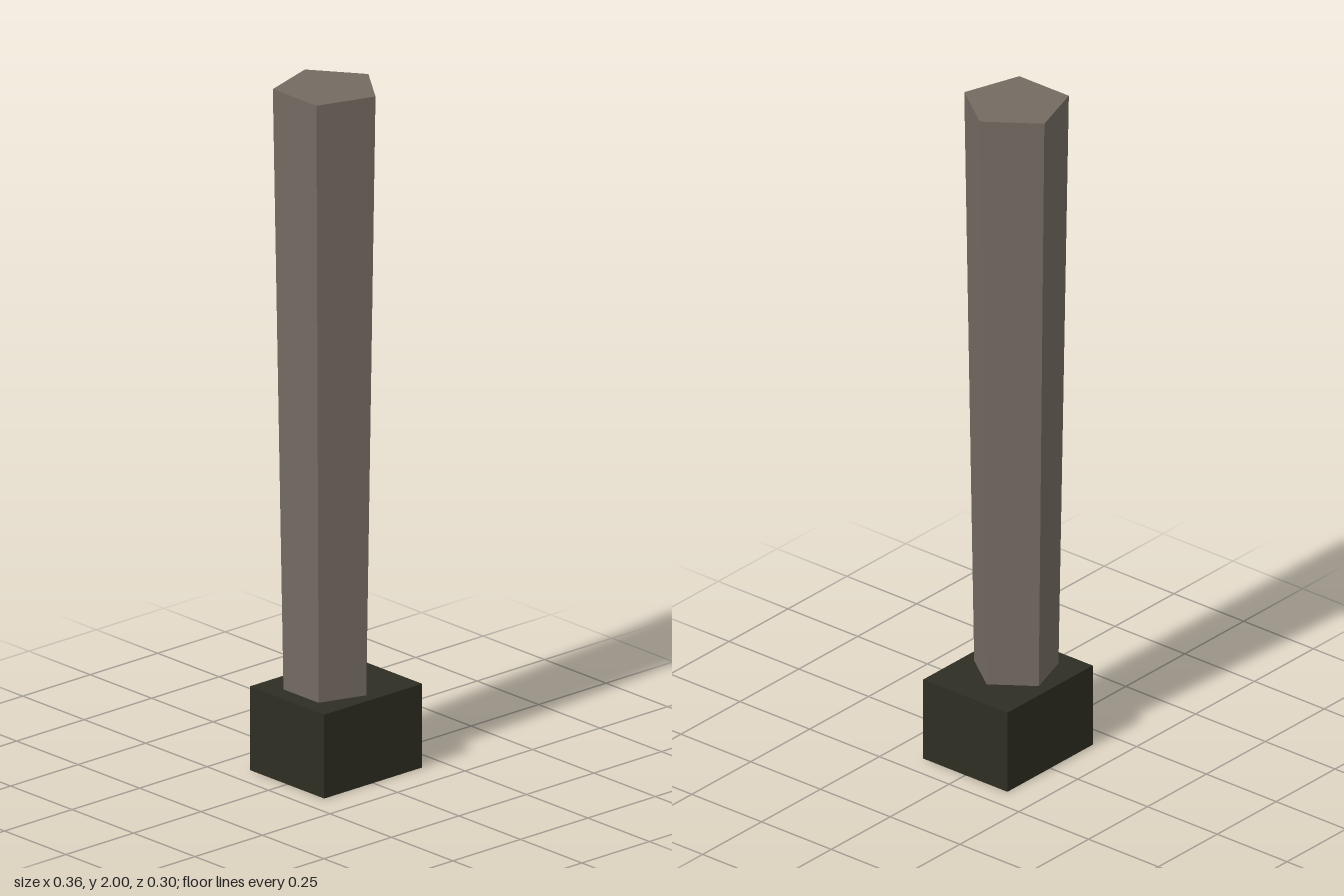
import * as THREE from 'three';

export function createModel() {
  const model = new THREE.Group();
  model.name = 'post';
  const stone = new THREE.MeshStandardMaterial({ color: 0x746b62 });
  stone.name = 'warm grey';
  const dark = new THREE.MeshStandardMaterial({ color: 0x2f2e23 });
  dark.name = 'dark olive';

  // Rectangular foot block
  const baseHeight = 0.245;
  const base = new THREE.Mesh(new THREE.BoxGeometry(0.362, baseHeight, 0.302), dark);
  base.name = 'base';
  base.position.y = baseHeight / 2;

  // Five-sided shaft, widening upward, one edge toward +x, sunk slightly into the base
  const bottom = 0.2, top = 2;
  const shaftGeometry = new THREE.CylinderGeometry(0.151, 0.121, top - bottom, 5, 1, false, Math.PI / 2)
    .toNonIndexed();
  shaftGeometry.computeVertexNormals(); // flat facets
  const shaft = new THREE.Mesh(shaftGeometry, stone);
  shaft.name = 'shaft';
  shaft.position.set(-0.031, (bottom + top) / 2, 0);

  model.add(base, shaft);
  return model;
}
